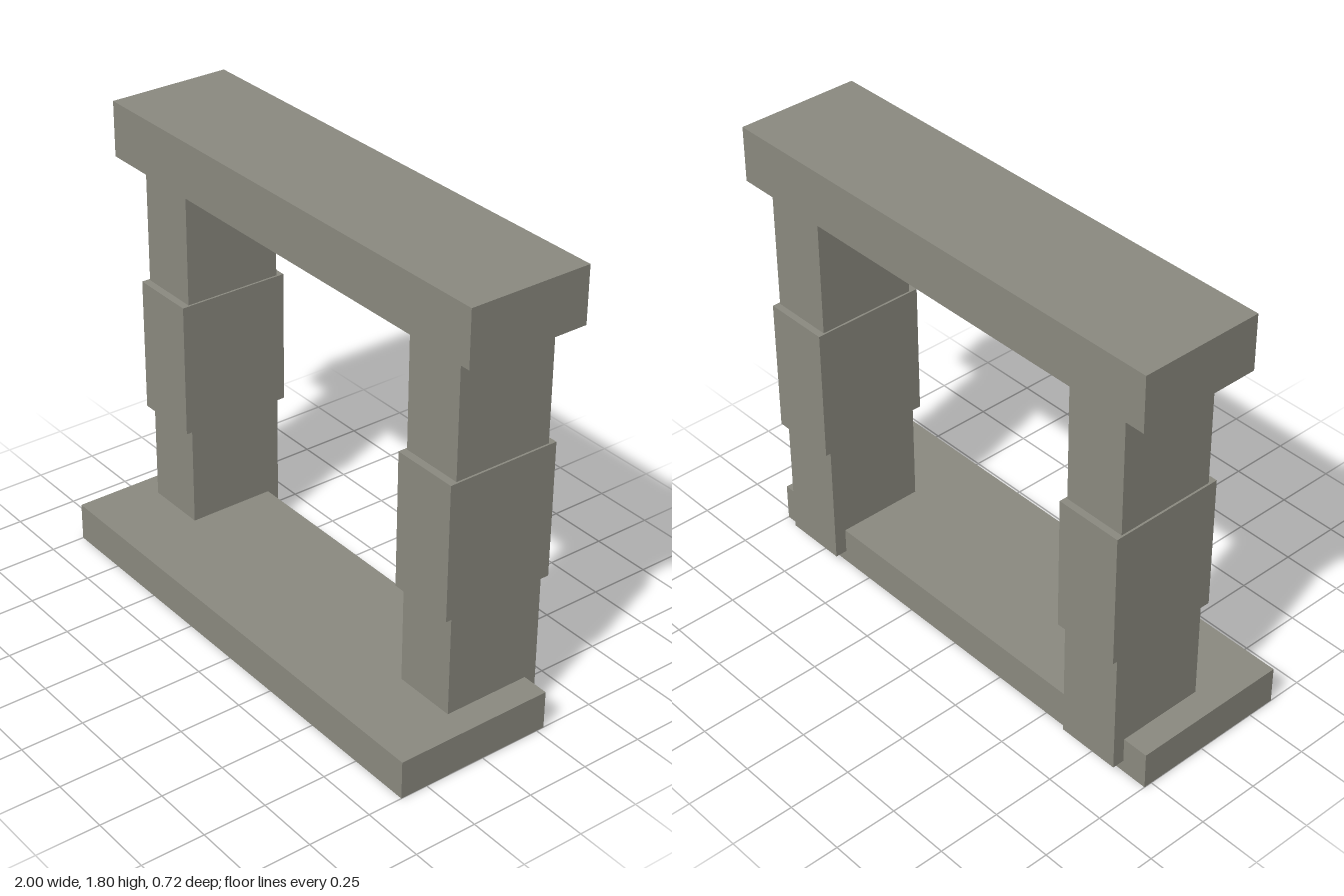
import * as THREE from 'three';

const stone = new THREE.MeshStandardMaterial({ color: 0x8b8a80 });
stone.name = 'stone';

// Box given by its extents along each axis
function block(name, [x0, x1], [y0, y1], [z0, z1]) {
  const mesh = new THREE.Mesh(new THREE.BoxGeometry(x1 - x0, y1 - y0, z1 - z0), stone);
  mesh.position.set((x0 + x1) / 2, (y0 + y1) / 2, (z0 + z1) / 2);
  mesh.name = name;
  return mesh;
}

export function createModel() {
  const gate = new THREE.Group();
  gate.name = 'stoneGate';

  // Base slab, set forward so the pillars overhang its back edge
  gate.add(block('baseSlab', [-1, 1], [0, 0.154], [-0.283, 0.361]));

  // Lintel across the top
  gate.add(block('lintel', [-1, 1], [1.586, 1.805], [-0.361, 0.131]));

  // Pillars, each with a slightly wider block around its middle
  for (const [side, x] of [['right', -0.766], ['left', 0.763]]) {
    const pillar = new THREE.Group();
    pillar.name = side + 'Pillar';
    pillar.position.x = x;
    pillar.add(
      block('shaft', [-0.127, 0.127], [0.05, 1.59], [-0.332, 0.07]),
      block('middleBlock', [-0.135, 0.135], [0.56, 1.1], [-0.359, 0.1]),
    );
    gate.add(pillar);
  }
  return gate;
}
